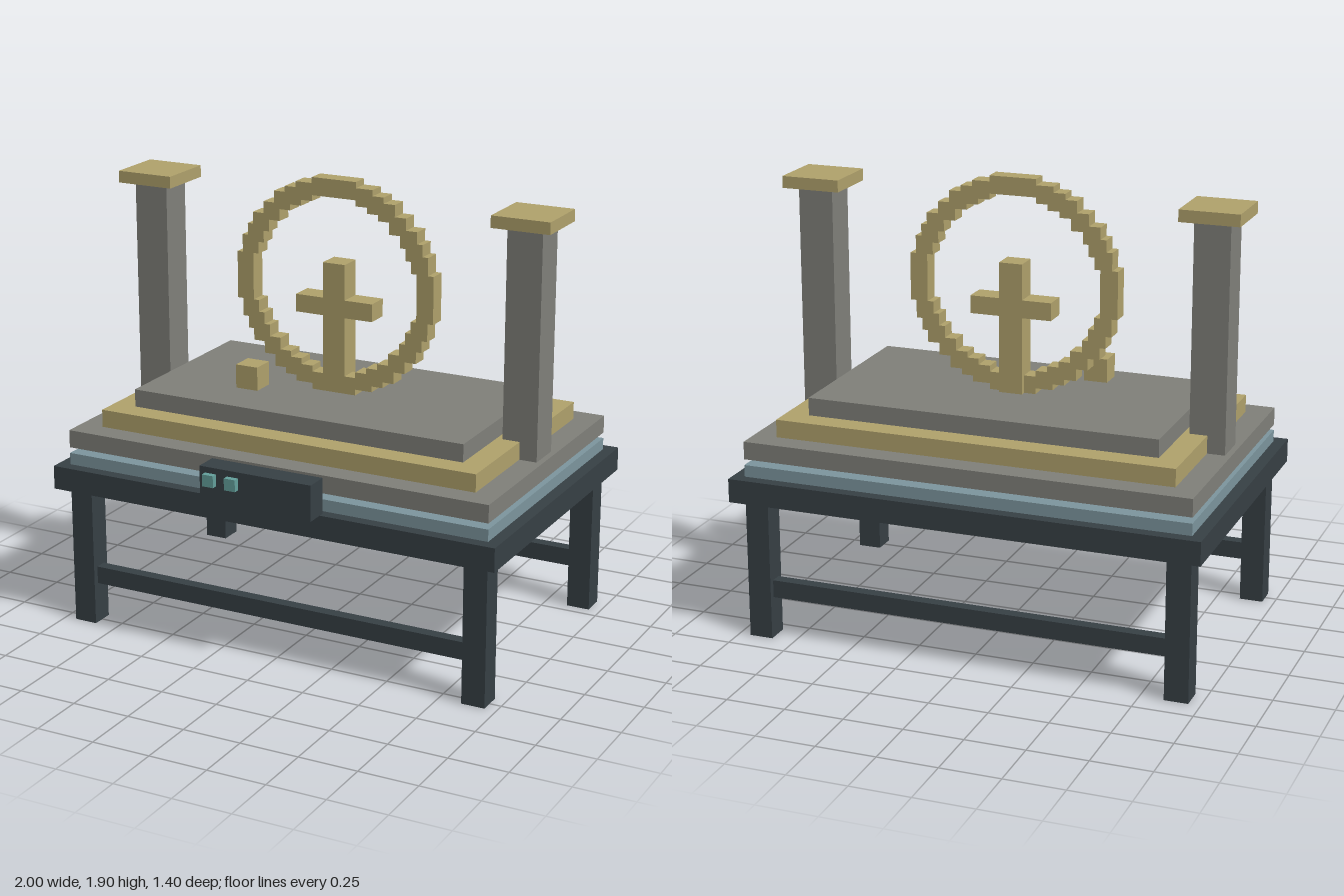
import * as THREE from 'three';

const paint = (color) => new THREE.MeshStandardMaterial({ color });
const dark = paint(0x374045), stone = paint(0x80807a), gold = paint(0xb0a26c);
const blue = paint(0x7d969e), teal = paint(0x64a09c);

// Box given by its [min, max] extent on each axis
function block(parent, name, material, [x0, x1], [y0, y1], [z0, z1]) {
  const mesh = new THREE.Mesh(new THREE.BoxGeometry(x1 - x0, y1 - y0, z1 - z0), material);
  mesh.position.set((x0 + x1) / 2, (y0 + y1) / 2, (z0 + z1) / 2);
  mesh.name = name;
  parent.add(mesh);
}

function group(parent, name) {
  const g = new THREE.Group();
  g.name = name;
  parent.add(g);
  return g;
}

export function createModel() {
  const model = new THREE.Group();
  model.name = 'steppedShrineOnTable';

  // Table: top, four legs, front and back rails
  const table = group(model, 'table');
  block(table, 'tableTop', dark, [-1, 1], [0.6, 0.7], [-0.7, 0.6]);
  for (const [side, z] of [['front', 0.5], ['back', -0.6]]) {
    for (const x of [-0.9, 0.9]) {
      block(table, side + (x > 0 ? 'LeftLeg' : 'RightLeg'), dark,
        [x - 0.05, x + 0.05], [0, 0.6], [z - 0.05, z + 0.05]);
    }
    block(table, side + 'Rail', dark, [-0.85, 0.85], [0.175, 0.25], [z - 0.025, z + 0.025]);
  }

  // Glowing layer and the floating stepped base above it
  const base = group(model, 'steppedBase');
  block(base, 'blueLayer', blue, [-0.95, 0.95], [0.7, 0.75], [-0.65, 0.55]);
  block(base, 'lowerStep', stone, [-0.95, 0.95], [0.775, 0.85], [-0.65, 0.55]);
  block(base, 'middleStep', gold, [-0.85, 0.85], [0.85, 0.925], [-0.55, 0.45]);
  block(base, 'upperStep', stone, [-0.75, 0.75], [0.925, 1], [-0.45, 0.35]);

  // Side columns with square caps
  for (const x of [-0.85, 0.85]) {
    const column = group(model, x > 0 ? 'leftColumn' : 'rightColumn');
    block(column, 'shaft', stone, [x - 0.075, x + 0.075], [0.85, 1.8], [-0.125, 0.025]);
    block(column, 'cap', gold, [x - 0.125, x + 0.125], [1.8, 1.85], [-0.175, 0.075]);
  }

  // Ring of cubes snapped to a fine grid
  const ring = group(model, 'ring');
  const unit = 0.025, steps = 40;
  const snap = (v) => (Math.floor(v) + 0.5) * unit;
  for (let i = 0; i < steps; i++) {
    const a = (i / steps) * Math.PI * 2;
    const x = snap(16.45 * Math.cos(a)), y = 1.45 + snap(16.45 * Math.sin(a));
    block(ring, 'ringBlock', gold,
      [x - 0.0375, x + 0.0375], [y - 0.0375, y + 0.0375], [-0.075, 0]);
  }

  // Cross inside the ring
  const cross = group(model, 'cross');
  block(cross, 'upright', gold, [-0.05, 0.05], [1, 1.55], [-0.1, 0]);
  block(cross, 'crossbar', gold, [-0.175, 0.175], [1.325, 1.4], [-0.1, 0]);

  // Small floating cube
  block(model, 'floatingCube', gold, [-0.35, -0.25], [1.025, 1.125], [0.1, 0.2]);

  // Control box with two buttons
  const control = group(model, 'controlBox');
  block(control, 'housing', dark, [-0.25, 0.25], [0.7, 0.85], [0.575, 0.675]);
  for (const x of [-0.2, -0.1]) {
    block(control, 'button', teal, [x - 0.025, x + 0.025], [0.775, 0.825], [0.675, 0.7]);
  }
  return model;
}
